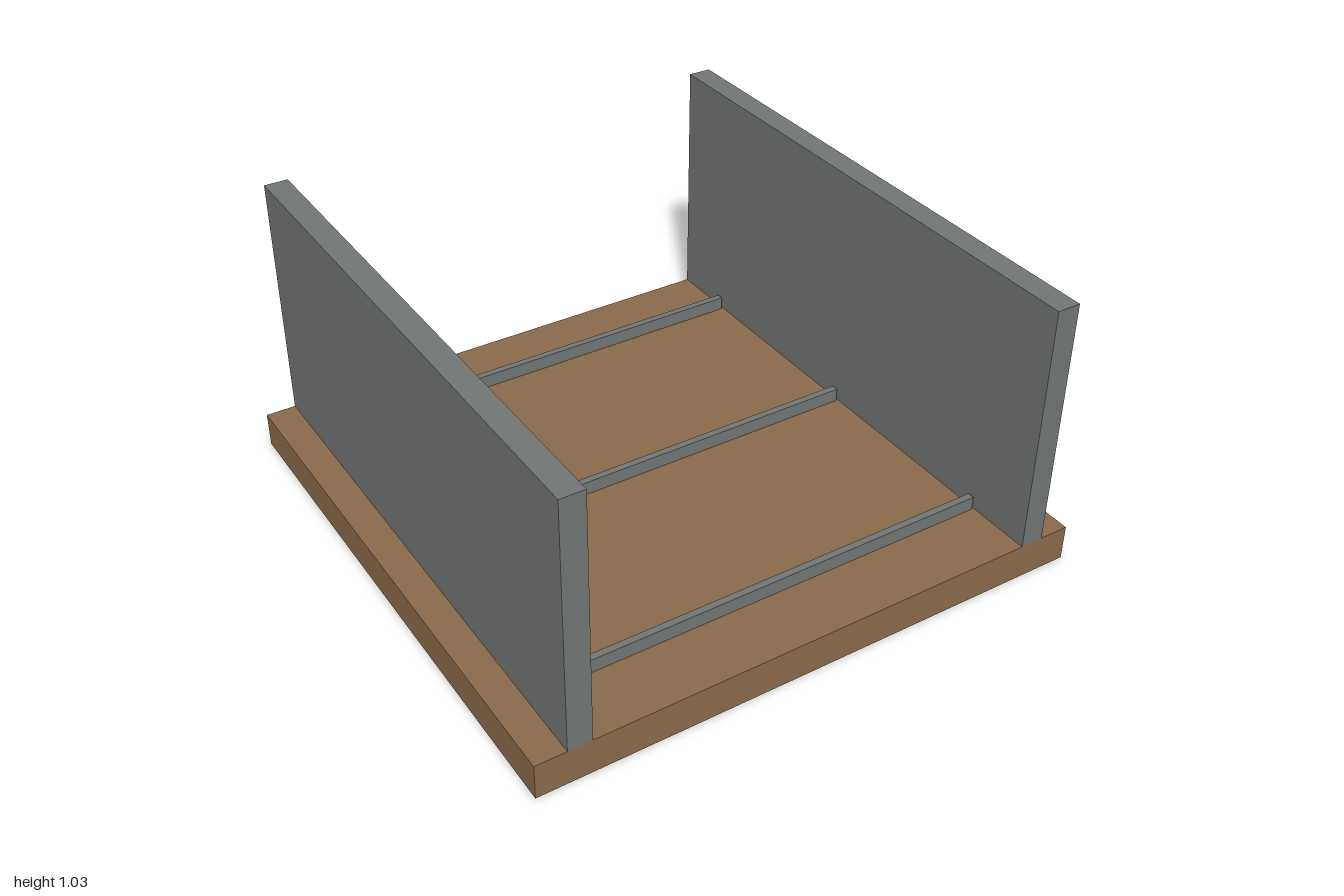
import * as THREE from 'three';

const material = (name, color) => {
  const m = new THREE.MeshStandardMaterial({ color });
  m.name = name;
  return m;
};

export function createModel() {
  const model = new THREE.Group();
  model.name = 'walledPlatform';
  const wood = material('brown wood', 0x8b6b4a);
  const metal = material('grey metal', 0x727674);

  // Box resting on height y
  const addBox = (name, mat, [w, h, d], [x, y, z]) => {
    const mesh = new THREE.Mesh(new THREE.BoxGeometry(w, h, d), mat);
    mesh.name = name;
    mesh.position.set(x, y + h / 2, z);
    model.add(mesh);
  };

  // Base slab
  const top = 0.128;
  addBox('base', wood, [2, top, 2], [0, 0, 0]);

  // Upright side walls
  for (const side of [-1, 1]) {
    addBox(side > 0 ? 'leftWall' : 'rightWall', metal, [0.084, 0.9, 2], [side * 0.85, top, 0]);
  }

  // Low cross rails between the walls
  ['backRail', 'middleRail', 'frontRail'].forEach((name, i) => {
    addBox(name, metal, [1.6, 0.05, 0.025], [0, top, (i - 1) * 0.75]);
  });

  return model;
}
